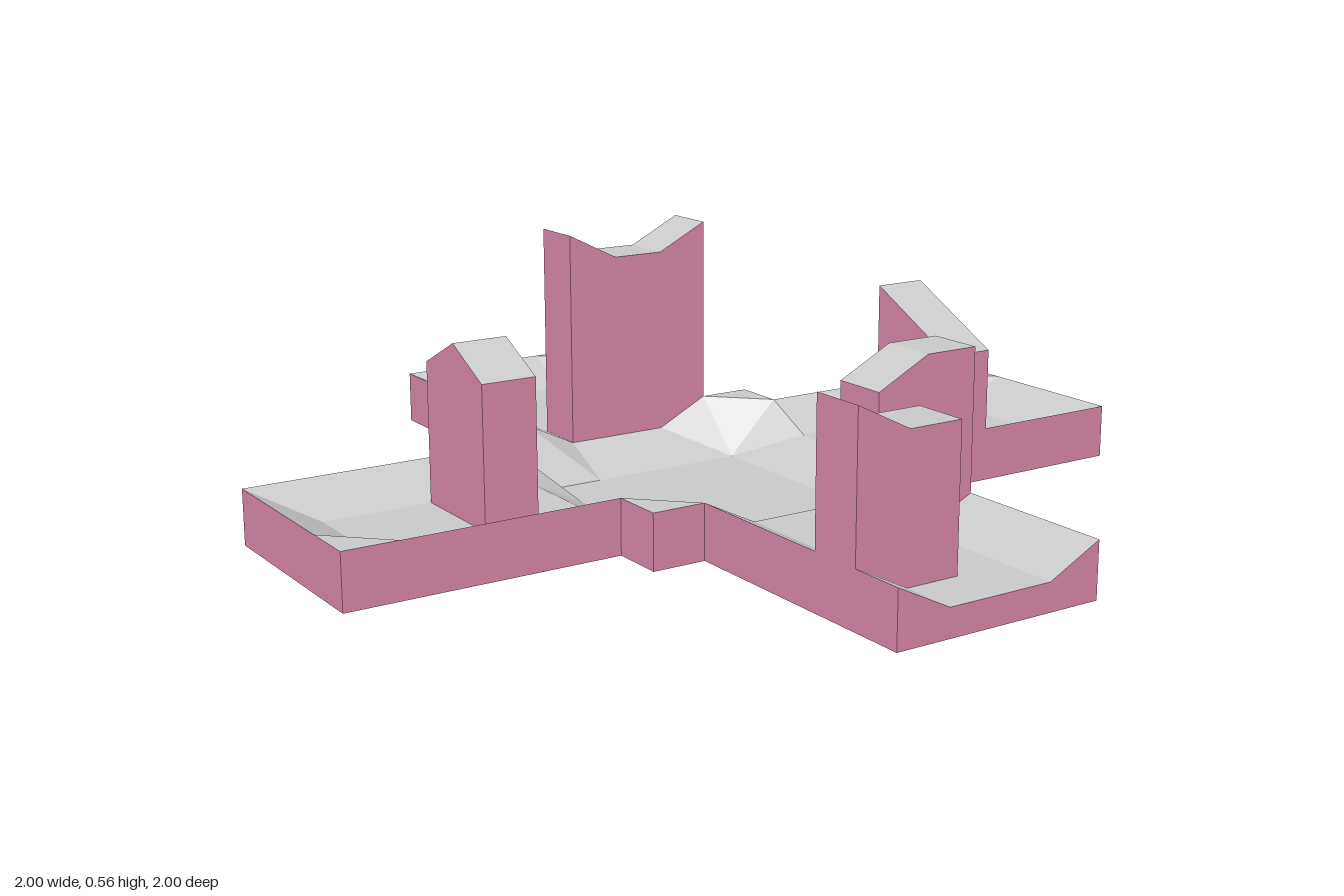
import * as THREE from 'three';

const U = 0.125; // grid cell size
const LOW = 0.0625, RIM = 0.125;

// Cross-shaped plan: two arms plus a slightly wider central square
function inPlan(i, j) {
  const x = Math.abs(i + 0.5), z = Math.abs(j + 0.5);
  return x < 8 && z < 8 && (x < 2 || z < 2 || (x < 3 && z < 3));
}

// Ground height at a grid corner: raised rim, shallow channel, sunken middle
function ground(i, j) {
  const inside = inPlan(i, j) && inPlan(i - 1, j) && inPlan(i, j - 1) && inPlan(i - 1, j - 1);
  if (!inside) return j === 8 && Math.abs(i) < 2 ? LOW : RIM; // front end is open
  return Math.max(Math.abs(i), Math.abs(j)) <= 2 ? 0 : LOW;
}

// Raised blocks: first cell, direction of the run, and top heights along it
const blocks = [
  { name: 'backTower', i: -1, j: -4, alongX: true, tops: [0.5625, 0.5, 0.5, 0.5625] },
  { name: 'frontInnerTower', i: 0, j: 4, alongX: true, tops: [0.375, 0.4375, 0.4375] },
  { name: 'frontOuterTower', i: -2, j: 6, alongX: true, tops: [0.4375, 0.375, 0.375] },
  { name: 'rightTower', i: -5, j: -1, alongX: false, tops: [0.375, 0.4375, 0.375] },
  { name: 'leftTower', i: 4, j: 0, alongX: false, tops: [0.4375, 0.375, 0.3125] },
];

const covers = (b, i, j) => {
  const n = b.tops.length - 1;
  return i >= b.i && j >= b.j && i < b.i + (b.alongX ? n : 1) && j < b.j + (b.alongX ? 1 : n);
};

// Collects quads, corners counter-clockwise seen from outside
function quadMesh(name, quads, color) {
  const pos = [];
  for (const [a, b, c, d] of quads) pos.push(...a, ...b, ...c, ...a, ...c, ...d);
  const geo = new THREE.BufferGeometry();
  geo.setAttribute('position', new THREE.Float32BufferAttribute(pos, 3));
  geo.computeVertexNormals();
  const mat = new THREE.MeshStandardMaterial({ color, flatShading: true, side: THREE.DoubleSide });
  const mesh = new THREE.Mesh(geo, mat);
  mesh.name = name;
  return mesh;
}

const topQuad = (i, j, h) =>
  [[i, j], [i, j + 1], [i + 1, j + 1], [i + 1, j]].map(([x, z]) => [x * U, h(x, z), z * U]);

// Vertical faces on every cell edge whose neighbour lies outside the region
function wallQuads(i, j, has, top, bottom) {
  const edges = [
    [i, j, i, j + 1, i - 1, j], [i, j + 1, i + 1, j + 1, i, j + 1],
    [i + 1, j + 1, i + 1, j, i + 1, j], [i + 1, j, i, j, i, j - 1],
  ];
  return edges.filter((e) => !has(e[4], e[5])).map(([x0, z0, x1, z1]) => [
    [x0 * U, bottom(x0, z0), z0 * U], [x1 * U, bottom(x1, z1), z1 * U],
    [x1 * U, top(x1, z1), z1 * U], [x0 * U, top(x0, z0), z0 * U],
  ]);
}

export function createModel() {
  const group = new THREE.Group();
  group.name = 'crossTerrain';
  const GREY = 0xcccccc, PINK = 0xdd8aac;

  // Ground surface, left open beneath the towers, and its outer skirt
  const floor = [], skirt = [];
  for (let i = -8; i < 8; i++) {
    for (let j = -8; j < 8; j++) {
      if (!inPlan(i, j)) continue;
      if (!blocks.some((b) => covers(b, i, j))) floor.push(topQuad(i, j, ground));
      skirt.push(...wallQuads(i, j, inPlan, ground, () => 0));
    }
  }
  group.add(quadMesh('ground', floor, GREY), quadMesh('skirt', skirt, PINK));

  // Hollow towers
  for (const b of blocks) {
    const tower = new THREE.Group();
    tower.name = b.name;
    const top = (i, j) => b.tops[b.alongX ? i - b.i : j - b.j];
    const has = (i, j) => covers(b, i, j);
    const caps = [], walls = [];
    for (let k = 0; k < b.tops.length - 1; k++) {
      const i = b.i + (b.alongX ? k : 0), j = b.j + (b.alongX ? 0 : k);
      caps.push(topQuad(i, j, top));
      walls.push(...wallQuads(i, j, has, top, ground));
    }
    tower.add(quadMesh('towerTop', caps, GREY), quadMesh('towerWalls', walls, PINK));
    group.add(tower);
  }
  return group;
}
